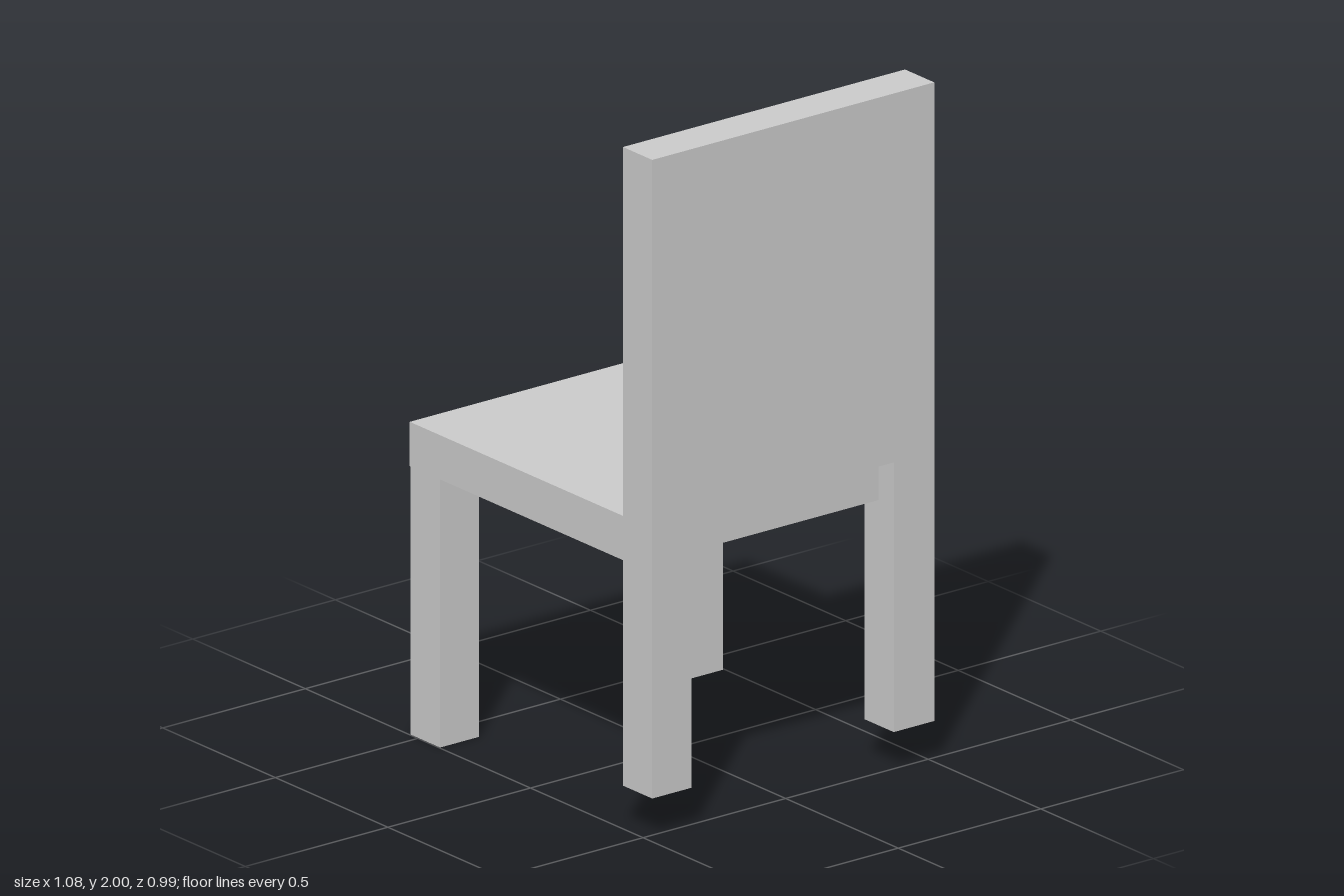
import * as THREE from 'three';

const material = new THREE.MeshStandardMaterial({ color: 0xcccccc, flatShading: true });

// Box given by its extents along each axis
function block(name, [x0, x1], [y0, y1], [z0, z1]) {
  const mesh = new THREE.Mesh(new THREE.BoxGeometry(x1 - x0, y1 - y0, z1 - z0), material);
  mesh.position.set((x0 + x1) / 2, (y0 + y1) / 2, (z0 + z1) / 2);
  mesh.name = name;
  return mesh;
}

export function createModel() {
  const chair = new THREE.Group();
  chair.name = 'chair';

  // Seat slab, its rear edge let halfway into the back legs
  chair.add(block('seat', [-0.54, 0.47], [0.787, 0.917], [-0.497, 0.497]));

  // Front legs
  chair.add(block('frontLegLeft', [-0.536, -0.405], [0, 0.787], [0.36, 0.497]));
  chair.add(block('frontLegRight', [-0.536, -0.405], [0, 0.787], [-0.495, -0.355]));

  // Backrest and the shorter rear legs, cut as one board (shape x becomes -z)
  const outline = [
    [-0.497, 0.125], [-0.36, 0.125], [-0.36, 0.917], [0.35, 0.917],
    [0.35, 0.125], [0.492, 0.125], [0.492, 2], [-0.497, 2],
  ].map(([x, y]) => new THREE.Vector2(x, y));
  const board = new THREE.ExtrudeGeometry(new THREE.Shape(outline), { depth: 0.13, bevelEnabled: false });
  board.rotateY(Math.PI / 2);
  const back = new THREE.Mesh(board, material);
  back.position.x = 0.407;
  back.name = 'backrestWithRearLegs';
  chair.add(back);

  return chair;
}
